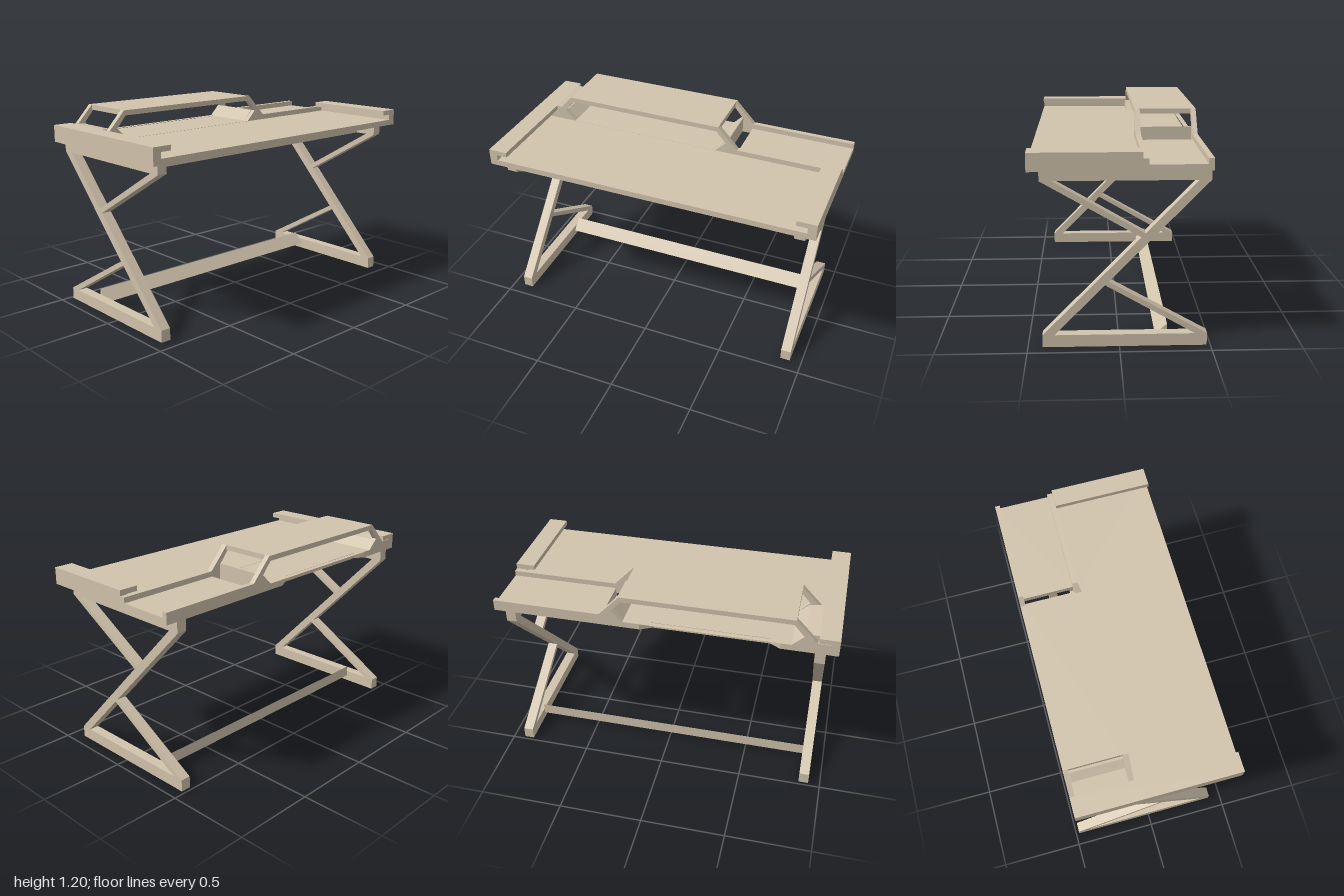
import * as THREE from 'three';

const wood = new THREE.MeshStandardMaterial({ color: 0xd2c4ad });
wood.name = 'pale wood';

const path = (pts, Type = THREE.Shape) => new Type(pts.map(([a, b]) => new THREE.Vector2(a, b)));

function extrude(pts, holes, depth) {
  const shape = path(pts);
  holes.forEach((h) => shape.holes.push(path(h, THREE.Path)));
  return new THREE.ExtrudeGeometry(shape, { depth, bevelEnabled: false });
}

export function createModel() {
  const model = new THREE.Group();
  model.name = 'desk';

  const add = (name, geometry) => {
    const mesh = new THREE.Mesh(geometry, wood);
    mesh.name = name;
    model.add(mesh);
  };
  // Box given by its limits on each axis
  const box = (name, x0, x1, y0, y1, z0, z1) =>
    add(name, new THREE.BoxGeometry(x1 - x0, y1 - y0, z1 - z0)
      .translate((x0 + x1) / 2, (y0 + y1) / 2, (z0 + z1) / 2));
  // Profile in (z, y), running along x from x0 to x1
  const alongX = (name, pts, holes, x0, x1) =>
    add(name, extrude(pts, holes, x1 - x0).rotateY(-Math.PI / 2).translate(x1, 0, 0));
  // Profile in (x, y), running along z from z0 to z1
  const alongZ = (name, pts, holes, z0, z1) =>
    add(name, extrude(pts, holes, z1 - z0).translate(0, 0, z0));

  // Z-shaped side frames with a brace above and below
  const frame = [[0.42, 0], [0.42, 0.07], [-0.115, 0.625], [0.42, 0.935], [0.42, 1], [-0.48, 1],
    [-0.48, 0.935], [0.058, 0.377], [-0.48, 0.07], [-0.48, 0]];
  const frameHoles = [
    [[0.355, 0.935], [-0.415, 0.935], [-0.137, 0.647]],
    [[0.355, 0.07], [0.078, 0.357], [-0.415, 0.07]],
  ];
  alongX('leftFrame', frame, frameHoles, 0.87, 0.93);
  alongX('rightFrame', frame, frameHoles, -0.93, -0.87);

  // Wedge-shaped foot stretcher
  alongX('stretcher', [[-0.2, 0.035], [-0.265, 0.105], [-0.265, 0.035]], [], -0.87, 0.87);

  // Thin rails and spacers under the top
  box('backRail', -0.87, 0.87, 0.935, 0.95, -0.165, -0.1);
  box('frontRail', -0.87, 0.87, 0.935, 0.95, 0.22, 0.28);
  for (const x of [-0.4, 0.4]) box('spacer', x - 0.03, x + 0.03, 0.95, 1, -0.165, 0.28);
  box('railBlock', 0.77, 0.87, 0.95, 0.965, -0.165, -0.1);

  // Desktop with a cable slot and a shallow notch in the back edge
  add('desktop', extrude(
    [[-1, -0.48], [-0.68, -0.48], [-0.62, -0.445], [0.05, -0.445], [0.12, -0.48], [1, -0.48], [1, 0.48], [-1, 0.48]],
    [[[0.29, -0.45], [0.355, -0.45], [0.355, -0.147], [0.29, -0.147]]], 0.035)
    .rotateX(Math.PI / 2).translate(0, 1.035, 0));

  // End caps: outer wall and overhanging lip
  box('rightEndWall', -1, -0.95, 1.035, 1.07, -0.48, 0.48);
  box('rightEndLip', -1, -0.885, 1.07, 1.1, -0.48, 0.48);
  box('leftEndWall', 0.95, 1, 1.035, 1.07, -0.115, 0.48);
  box('leftEndLip', 0.885, 1, 1.07, 1.1, -0.115, 0.48);

  // Front and back plates of the raised shelf
  const plate = [[-0.95, 1.035], [1, 1.035], [1, 1.067], [0.36, 1.067], [0.235, 1.2], [-0.755, 1.2],
    [-0.88, 1.067], [-0.95, 1.067]];
  const opening = [[-0.74, 1.036], [0.22, 1.036], [0.285, 1.1], [0.225, 1.17], [-0.745, 1.17], [-0.805, 1.1]];
  alongZ('shelfFront', plate, [opening], -0.147, -0.115);
  alongZ('shelfBack', plate, [opening], -0.48, -0.45);

  // Shelf roof and the sloped ends of its tray
  box('shelfRoof', -0.755, 0.235, 1.17, 1.2, -0.45, -0.147);
  alongZ('trayRightEnd', [[-0.95, 1.035], [-0.74, 1.035], [-0.805, 1.09], [-0.885, 1.1], [-0.95, 1.07]], [], -0.45, -0.147);
  alongZ('trayLeftEnd', [[0.22, 1.035], [0.29, 1.035], [0.29, 1.1], [0.28, 1.1]], [], -0.45, -0.147);

  return model;
}
